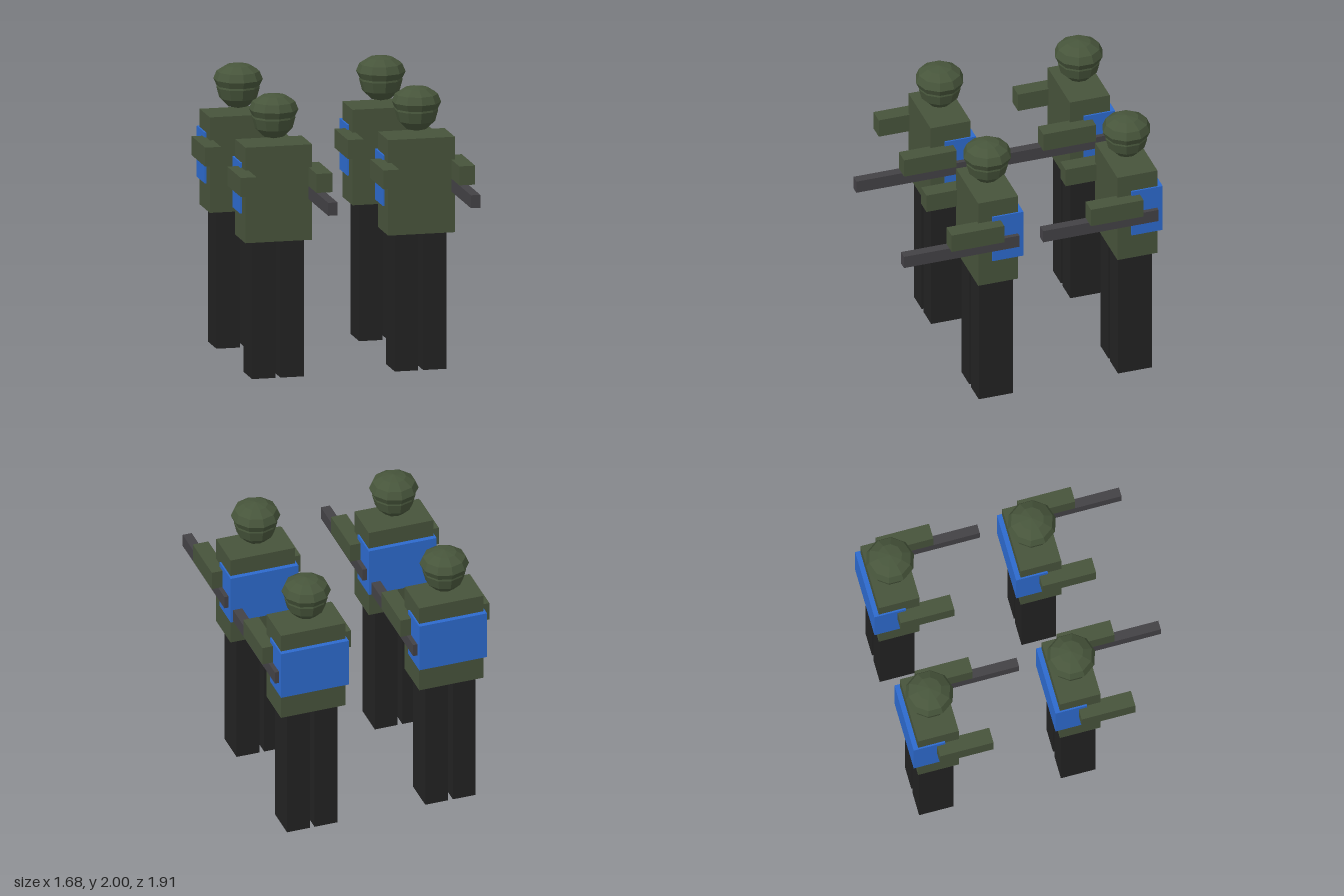
import * as THREE from 'three';

const material = (name, color, flatShading = false) => {
  const m = new THREE.MeshStandardMaterial({ color, flatShading });
  m.name = name;
  return m;
};

// Box given by its min and max corners
function box(name, mat, [x0, y0, z0], [x1, y1, z1]) {
  const geo = new THREE.BoxGeometry(x1 - x0, y1 - y0, z1 - z0);
  geo.translate((x0 + x1) / 2, (y0 + y1) / 2, (z0 + z1) / 2);
  const mesh = new THREE.Mesh(geo, mat);
  mesh.name = name;
  return mesh;
}

function createSoldier(mats) {
  const { green, headGreen, black, blue, gunmetal } = mats;
  const soldier = new THREE.Group();
  soldier.name = 'soldier';

  soldier.add(box('torso', green, [-0.239, 0.975, -0.147], [0.239, 1.655, 0.147]));
  soldier.add(box('backpack', blue, [-0.251, 1.165, -0.182], [0.251, 1.527, 0.046]));
  soldier.add(box('rifle', gunmetal, [0.215, 1.265, -0.141], [0.282, 1.357, 0.708]));

  // Legs and forward-stretched arms, mirrored
  for (const [side, s] of [['left', 1], ['right', -1]]) {
    const cx = s * 0.102, ax = s * 0.272;
    soldier.add(box(side + 'Leg', black, [cx - 0.084, 0, -0.125], [cx + 0.084, 0.975, 0.125]));
    soldier.add(box(side + 'Arm', green, [ax - 0.057, 1.357, -0.014], [ax + 0.057, 1.492, 0.373]));
  }

  // Faceted ten-sided head
  const headGeo = new THREE.SphereGeometry(0.152, 10, 6);
  headGeo.rotateY(Math.PI / 2);
  const head = new THREE.Mesh(headGeo, headGreen);
  head.name = 'head';
  head.position.y = 1.831;
  soldier.add(head);

  // Flattened helmet dome with an underside
  const profile = [
    [0, 1.845], [0.152, 1.845], [0.173, 1.89], [0.15, 1.945], [0.086, 1.985], [0, 2],
  ].map(([r, y]) => new THREE.Vector2(r, y));
  const helmet = new THREE.Mesh(new THREE.LatheGeometry(profile, 10), headGreen);
  helmet.name = 'helmet';
  soldier.add(helmet);
  return soldier;
}

export function createModel() {
  const mats = {
    green: material('uniform green', 0x47533b),
    headGreen: material('helmet green', 0x47553b, true),
    black: material('trouser black', 0x222222),
    blue: material('backpack blue', 0x2d6acd),
    gunmetal: material('gunmetal', 0x434145),
  };
  const squad = new THREE.Group();
  squad.name = 'squad';

  // Two by two formation
  for (const x of [-0.512, 0.512]) {
    for (const z of [0.249, -0.775]) {
      const soldier = createSoldier(mats);
      soldier.position.set(x, 0, z);
      squad.add(soldier);
    }
  }
  return squad;
}
